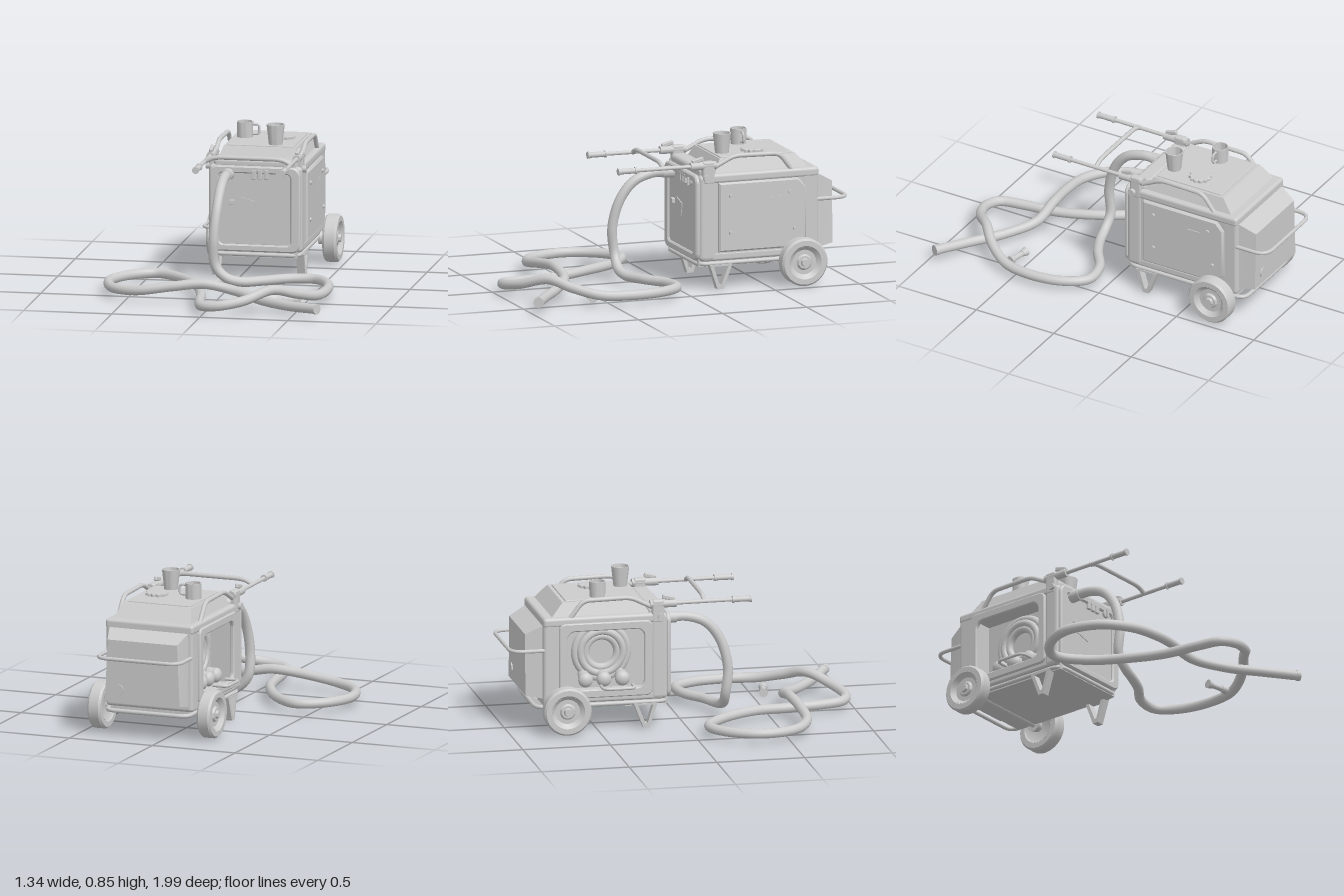
import * as THREE from 'three';
import { toCreasedNormals } from 'three/addons/utils/BufferGeometryUtils.js';
import { RoundedBoxGeometry } from 'three/addons/geometries/RoundedBoxGeometry.js';

const grey = new THREE.MeshStandardMaterial({ color: 0xcccccc, side: THREE.DoubleSide });
const V = (x, y, z) => new THREE.Vector3(x, y, z);

function add(parent, name, geometry, x = 0, y = 0, z = 0) {
  const mesh = new THREE.Mesh(geometry, grey);
  mesh.name = name;
  mesh.position.set(x, y, z);
  parent.add(mesh);
  return mesh;
}

// Box given by its limits, with optional edge rounding
function block(parent, name, x0, x1, y0, y1, z0, z1, r = 0) {
  const s = [x1 - x0, y1 - y0, z1 - z0];
  const g = r ? new RoundedBoxGeometry(...s, 3, r) : new THREE.BoxGeometry(...s);
  return add(parent, name, g, (x0 + x1) / 2, (y0 + y1) / 2, (z0 + z1) / 2);
}

// Box whose corners are moved by a rule
function shapedBox(rule) {
  const g = new THREE.BoxGeometry(2, 2, 2);
  const p = g.attributes.position;
  for (let i = 0; i < p.count; i++) p.setXYZ(i, ...rule(p.getX(i), p.getY(i), p.getZ(i)));
  g.computeVertexNormals();
  return g;
}

// Pipe along straight runs with rounded bends
function pipe(parent, name, pts, r, bend = 0.05, closed = false) {
  const path = new THREE.CurvePath();
  const n = pts.length;
  const toward = (a, b) => a.clone().lerp(b, Math.min(0.45, bend / a.distanceTo(b)));
  let last = closed ? toward(pts[0], pts[1]) : pts[0];
  for (let i = 1; i <= (closed ? n : n - 2); i++) {
    const c = pts[i % n], before = toward(c, pts[i - 1]), after = toward(c, pts[(i + 1) % n]);
    path.add(new THREE.LineCurve3(last, before));
    path.add(new THREE.QuadraticBezierCurve3(before, c, after));
    last = after;
  }
  if (!closed) path.add(new THREE.LineCurve3(last, pts[n - 1]));
  return add(parent, name, new THREE.TubeGeometry(path, 24 * n, r, 10, closed));
}

// Cylinder between two points
function rod(parent, name, a, b, r0, r1 = r0, sides = 16) {
  const m = add(parent, name, new THREE.CylinderGeometry(r1, r0, a.distanceTo(b), sides));
  m.position.copy(a).lerp(b, 0.5);
  m.quaternion.setFromUnitVectors(V(0, 1, 0), b.clone().sub(a).normalize());
  return m;
}

function lathe(profile, segments = 32) {
  const pts = profile.map(p => new THREE.Vector2(...p));
  return toCreasedNormals(new THREE.LatheGeometry(pts, segments), 0.6);
}

function roundRect(Type, w, h, r) {
  const s = new Type(), x = w / 2 - r, y = h / 2 - r;
  s.absarc(x, y, r, 0, Math.PI / 2);
  s.absarc(-x, y, r, Math.PI / 2, Math.PI);
  s.absarc(-x, -y, r, Math.PI, Math.PI * 1.5);
  s.absarc(x, -y, r, Math.PI * 1.5, Math.PI * 2);
  s.closePath();
  return s;
}

function extrude(shape, depth, bevel = 0) {
  return toCreasedNormals(new THREE.ExtrudeGeometry(shape, {
    depth, bevelEnabled: bevel > 0, bevelSize: bevel, bevelThickness: bevel, bevelSegments: 1, curveSegments: 8,
  }), 0.6);
}

function buildBody(unit) {
  block(unit, 'frontFrame', -0.265, 0.265, 0.16, 0.65, -0.2, -0.1, 0.025);
  block(unit, 'rearFrame', -0.262, 0.262, 0.16, 0.65, -0.81, -0.71, 0.02);
  block(unit, 'core', -0.12, 0.26, 0.17, 0.64, -0.75, -0.15);
  block(unit, 'roofEdge', -0.265, 0.265, 0.6, 0.655, -0.81, -0.13, 0.018);
  block(unit, 'sillEdge', -0.262, 0.262, 0.16, 0.21, -0.8, -0.12, 0.015);
  block(unit, 'baseTray', -0.24, 0.24, 0.13, 0.17, -0.79, -0.1);
  pipe(unit, 'baseTube', [V(-0.25, 0.145, -0.1), V(0.25, 0.145, -0.1), V(0.25, 0.145, -0.85), V(-0.25, 0.145, -0.85)], 0.012, 0.06, true);

  // Tapered roof hatch and front lip
  add(unit, 'roofHatch', shapedBox((x, y, z) => y > 0
    ? [x * 0.205, 0.73, z > 0 ? -0.24 : -0.69] : [x * 0.235, 0.65, z > 0 ? -0.2 : -0.76]));
  block(unit, 'hatchPanel', -0.19, 0.19, 0.725, 0.737, -0.67, -0.25, 0.005);
  block(unit, 'frontLip', -0.24, 0.24, 0.63, 0.685, -0.21, -0.11, 0.022);

  // Rear engine housing with an outlet
  add(unit, 'engineHousing', shapedBox((x, y, z) => z > 0
    ? [x * 0.24, y > 0 ? 0.615 : 0.19, -0.8] : [x * (y > 0 ? 0.21 : 0.225), y > 0 ? 0.56 : 0.21, -0.905]));
  rod(unit, 'exhaustOutlet', V(0.14, 0.28, -0.89), V(0.14, 0.28, -0.912), 0.028);
  pipe(unit, 'rearHandle', [V(-0.25, 0.47, -0.78), V(-0.25, 0.47, -0.99), V(0.25, 0.47, -0.99), V(0.25, 0.47, -0.78)], 0.011, 0.08);
}

function buildFront(unit) {
  const frame = roundRect(THREE.Shape, 0.5, 0.47, 0.04);
  frame.holes.push(roundRect(THREE.Path, 0.42, 0.42, 0.03));
  add(unit, 'frontBezel', extrude(frame, 0.012, 0.008), 0, 0.405, -0.1);
  block(unit, 'controlPanel', -0.205, 0.205, 0.2, 0.61, -0.11, -0.093, 0.005);
  for (let i = 0; i < 3; i++) block(unit, 'switch', -0.018 + i * 0.036, 0.008 + i * 0.036, 0.575, 0.63, -0.1, -0.078, 0.005);
  rod(unit, 'dial', V(0.145, 0.602, -0.1), V(0.145, 0.602, -0.08), 0.024);
  block(unit, 'dialGrip', 0.14, 0.15, 0.58, 0.624, -0.082, -0.07);
  block(unit, 'latch', -0.145, -0.115, 0.425, 0.455, -0.1, -0.075, 0.004);
  block(unit, 'instructionPlate', -0.09, 0, 0.385, 0.46, -0.095, -0.088).rotation.z = -0.25;
}

function buildSides(unit) {
  // Bolted service door; its outline is drawn in z and y
  const s = new THREE.Shape([[0.22, 0.22], [0.67, 0.22], [0.72, 0.27], [0.72, 0.55], [0.68, 0.595], [0.22, 0.595]]
    .map(p => new THREE.Vector2(...p)));
  add(unit, 'serviceDoor', extrude(s, 0.014, 0.009), 0.255).rotation.y = Math.PI / 2;
  for (const [y, z] of [[0.53, -0.28], [0.53, -0.63], [0.32, -0.28], [0.32, -0.66]])
    rod(unit, 'doorBolt', V(0.27, y, z), V(0.287, y, z), 0.013, 0.01);
  block(unit, 'doorTag', 0.27, 0.283, 0.44, 0.51, -0.58, -0.5);

  // Open bay with coiled cable and three sockets
  const bay = roundRect(THREE.Shape, 0.52, 0.42, 0.03);
  bay.holes.push(roundRect(THREE.Path, 0.45, 0.35, 0.05));
  add(unit, 'bayFrame', extrude(bay, 0.014, 0.006), -0.27, 0.405, -0.455).rotation.y = Math.PI / 2;
  for (const [r, x] of [[0.15, -0.135], [0.12, -0.15], [0.09, -0.14]])
    add(unit, 'cableCoil', new THREE.TorusGeometry(r, 0.022, 10, 32), x, 0.42, -0.455).rotation.y = Math.PI / 2;
  for (let i = 0; i < 3; i++) {
    const z = -0.35 - i * 0.105;
    rod(unit, 'socketNeck', V(-0.11, 0.3, z), V(-0.21, 0.28, z), 0.025, 0.04);
    add(unit, 'socketCap', new THREE.SphereGeometry(0.042, 16, 12), -0.215, 0.279, z).scale.x = 0.75;
  }
  pipe(unit, 'bayHandle', [V(-0.25, 0.25, -0.3), V(-0.335, 0.25, -0.3), V(-0.335, 0.25, -0.48), V(-0.25, 0.25, -0.48)], 0.009, 0.04);
}

function buildCarriage(unit) {
  const tyre = lathe([[0.085, -0.03], [0.095, -0.04], [0.125, -0.04], [0.135, -0.028], [0.135, 0.028], [0.125, 0.04], [0.095, 0.04], [0.085, 0.03]], 40);
  const rim = lathe([[0, -0.025], [0.07, -0.025], [0.09, -0.036], [0.09, 0.036], [0.07, 0.018], [0.045, 0.018], [0.036, 0.03], [0.024, 0.03], [0.02, 0.045], [0, 0.045]]);
  rod(unit, 'axle', V(-0.32, 0.137, -0.69), V(0.32, 0.137, -0.69), 0.018);
  for (const s of [-1, 1]) {
    const wheel = new THREE.Group();
    wheel.name = 'wheel';
    wheel.position.set(s * 0.33, 0.137, -0.69);
    wheel.rotation.z = -s * Math.PI / 2;
    add(wheel, 'tyre', tyre);
    add(wheel, 'rim', rim);
    unit.add(wheel);
    rod(unit, 'axleHub', V(s * 0.25, 0.137, -0.69), V(s * 0.295, 0.137, -0.69), 0.04, 0.03);

    // Folded strip leg in a V
    const leg = new THREE.Shape([[0.16, 0.14], [0.205, 0], [0.24, 0], [0.295, 0.14]].map(p => new THREE.Vector2(...p)));
    leg.holes.push(new THREE.Path([[0.185, 0.13], [0.216, 0.025], [0.228, 0.025], [0.27, 0.13]].map(p => new THREE.Vector2(...p))));
    add(unit, 'frontLeg', extrude(leg, 0.045), s * 0.243 - 0.0225).rotation.y = Math.PI / 2;
  }
}

// Shape drawn in (-z, y) is turned to run along x, so its first coordinate is distance behind z = 0
function buildHandles(unit) {
  for (const s of [-1, 1]) {
    const x = s * 0.245;
    pipe(unit, 'roofRail', [V(x, 0.64, -0.66), V(x, 0.745, -0.58), V(x, 0.75, -0.31), V(x, 0.69, -0.19)], 0.013, 0.04);
    block(unit, 'handleBracket', x - 0.022, x + 0.022, 0.6, 0.73, -0.19, -0.12, 0.012);
    rod(unit, 'bracketKnob', V(x, 0.635, -0.14), V(x + s * 0.04, 0.635, -0.14), 0.02);
    rod(unit, 'handleSleeve', V(x, 0.705, -0.2), V(x, 0.705, -0.05), 0.023);
    rod(unit, 'handleRod', V(x, 0.705, -0.06), V(x, 0.707, 0.3), 0.011);
    rod(unit, 'handleGrip', V(x, 0.707, 0.28), V(x, 0.707, 0.375), 0.016);
    for (const z of [0.27, 0.37]) rod(unit, 'gripCollar', V(x, 0.707, z), V(x, 0.707, z + 0.01), 0.02);
    block(unit, 'lockLever', x - 0.01, x + 0.01, 0.725, 0.75, -0.13, -0.06, 0.006).rotation.x = 0.25;
  }
  pipe(unit, 'crossbar', [V(-0.245, 0.705, 0.11), V(-0.19, 0.733, 0.11), V(0.19, 0.733, 0.11), V(0.245, 0.705, 0.11)], 0.013, 0.05);
}

function buildRoofItems(root) {
  // Mug with side handle, tumbler, scalloped filler cap
  add(root, 'mug', lathe([[0, 0], [0.044, 0], [0.046, 0.09], [0.04, 0.09], [0.038, 0.012], [0, 0.012]]), -0.03, 0.735, -0.475);
  pipe(root, 'mugHandle', [V(0.01, 0.81, -0.475), V(0.052, 0.81, -0.475), V(0.052, 0.755, -0.475), V(0.01, 0.755, -0.475)], 0.007, 0.02);
  add(root, 'tumbler', lathe([[0, 0], [0.038, 0], [0.051, 0.115], [0.045, 0.115], [0.034, 0.012], [0, 0.012]]), 0.178, 0.735, -0.3);
  const cap = new THREE.Shape();
  for (let i = 0; i < 72; i++) {
    const a = i / 72 * Math.PI * 2, r = 0.057 + 0.005 * Math.cos(a * 12);
    cap[i ? 'lineTo' : 'moveTo'](r * Math.cos(a), r * Math.sin(a));
  }
  add(root, 'fillerCap', extrude(cap, 0.016, 0.003), 0.19, 0.735, -0.475).rotation.x = -Math.PI / 2;
}

function buildHose(root) {
  const pts = [
    [-0.05, 0.6, -0.06], [-0.05, 0.6, 0.03], [-0.05, 0.56, 0.14], [-0.055, 0.46, 0.22], [-0.065, 0.3, 0.262],
    [-0.06, 0.15, 0.25], [0, 0.08, 0.25], [0.08, 0.055, 0.235], [0.2, 0.055, 0.18], [0.34, 0.055, 0.09],
    [0.48, 0.055, 0.08], [0.57, 0.055, 0.2], [0.6, 0.055, 0.4], [0.57, 0.06, 0.56], [0.48, 0.095, 0.7],
    [0.37, 0.13, 0.8], [0.23, 0.085, 0.92], [0.09, 0.06, 0.965], [0, 0.05, 0.93], [-0.04, 0.045, 0.8],
    [-0.07, 0.045, 0.6], [-0.13, 0.055, 0.4], [-0.26, 0.055, 0.19], [-0.42, 0.055, 0.08], [-0.56, 0.055, 0.16],
    [-0.64, 0.055, 0.34], [-0.58, 0.055, 0.54], [-0.43, 0.065, 0.635], [-0.23, 0.095, 0.635], [-0.05, 0.112, 0.615],
    [0.13, 0.08, 0.62], [0.3, 0.055, 0.73], [0.48, 0.055, 0.86], [0.655, 0.065, 0.965]].map(p => V(...p));
  add(root, 'hose', new THREE.TubeGeometry(new THREE.CatmullRomCurve3(pts), 240, 0.028, 12));
  rod(root, 'hoseCoupling', V(-0.05, 0.6, -0.11), V(-0.05, 0.6, -0.03), 0.036, 0.032);
  rod(root, 'hoseEnd', V(0.64, 0.064, 0.956), V(0.66, 0.065, 0.968), 0.03);

  // Loose nozzle on the ground
  const a = V(0.355, 0.025, 0.555), b = V(0.485, 0.025, 0.58), at = t => a.clone().lerp(b, t);
  rod(root, 'nozzleBarrel', a, b, 0.015);
  rod(root, 'nozzleInlet', at(0), at(0.25), 0.025, 0.018);
  rod(root, 'nozzleTip', at(0.75), b, 0.018, 0.025);
}

export function createModel() {
  const root = new THREE.Group();
  root.name = 'portablePowerUnit';
  const unit = new THREE.Group();
  unit.name = 'wheeledUnit';
  unit.position.x = 0.1;
  root.add(unit);
  for (const build of [buildBody, buildFront, buildSides, buildCarriage, buildHandles]) build(unit);
  buildRoofItems(root);
  buildHose(root);
  return root;
}
